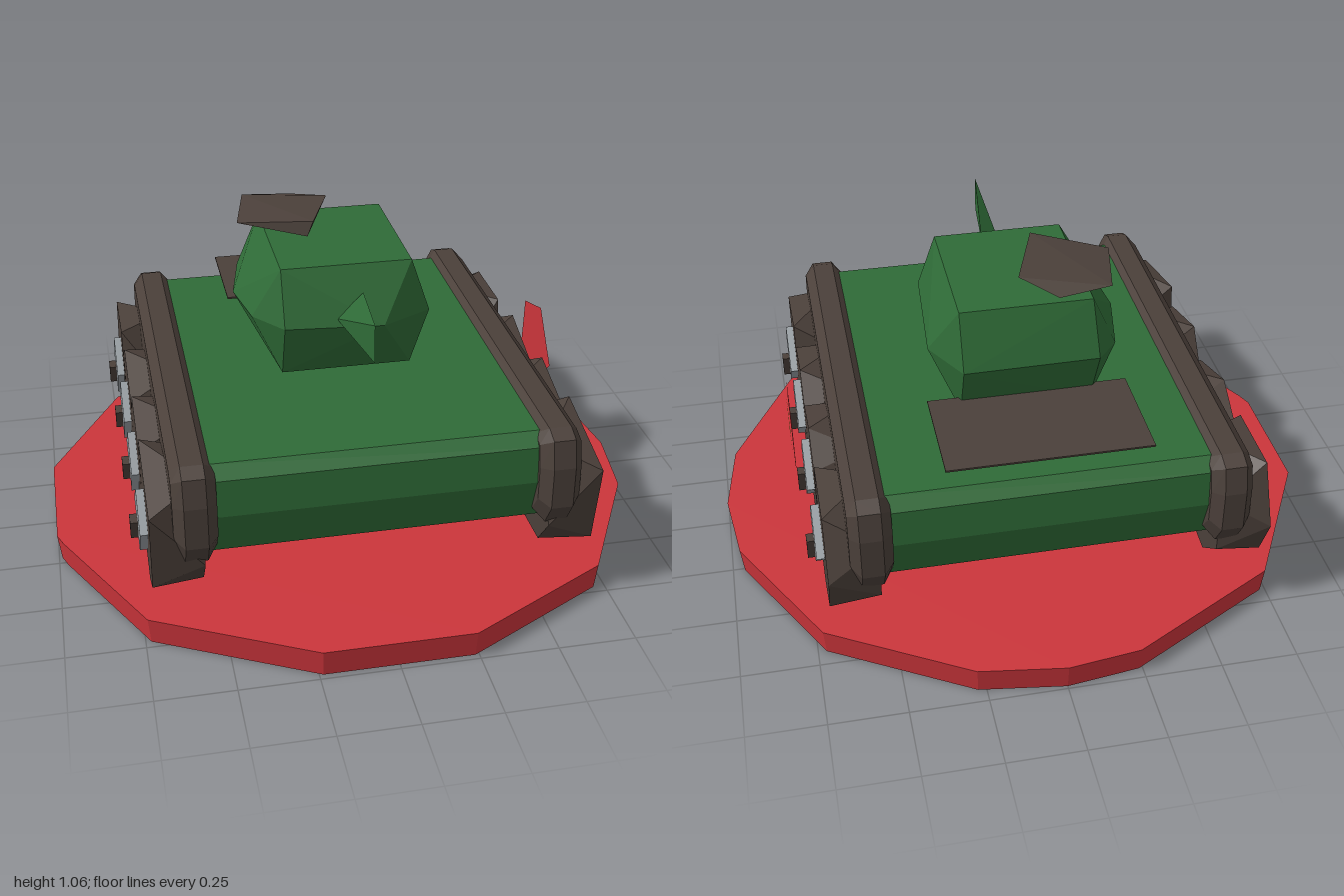
import * as THREE from 'three';
import { ConvexGeometry } from 'three/addons/geometries/ConvexGeometry.js';

const V = (x, y, z) => new THREE.Vector3(x, y, z);

function material(name, color, side = THREE.FrontSide) {
  const m = new THREE.MeshStandardMaterial({ color, side });
  m.name = name;
  return m;
}

export function createModel() {
  const root = new THREE.Group();
  root.name = 'toyTank';
  const green = material('green', 0x2f6b37);
  const brown = material('brown', 0x4b403a);
  const red = material('red', 0xcb353b, THREE.DoubleSide);
  const grey = material('grey', 0x989fa4);
  const yellow = material('yellow', 0xc9b02e, THREE.DoubleSide);

  const add = (name, geometry, mat, parent = root) => {
    const mesh = new THREE.Mesh(geometry, mat);
    mesh.name = name;
    parent.add(mesh);
    return mesh;
  };
  const solid = (name, points, mat, parent) => add(name, new ConvexGeometry(points), mat, parent);
  // Ring of [z, y] points placed at a given x
  const ringX = (x, pts) => pts.map(([z, y]) => V(x, y, z));
  // Ring of [x, z] points placed at a given y
  const ringY = (y, pts) => pts.map(([x, z]) => V(x, y, z));
  // Front half of a side profile, repeated at the back
  const bothEnds = (pts) => pts.concat(pts.map(([z, y]) => [-z, y]));

  // Round plinth with uneven facets
  const plinth = [[-0.24, -0.97], [0, -1], [0.28, -0.96], [0.73, -0.7], [0.97, -0.26], [1, 0], [0.96, 0.28],
    [0.72, 0.73], [0.24, 0.99], [-0.24, 0.99], [-0.74, 0.73], [-0.98, 0.27], [-1, 0.22], [-1, -0.22], [-0.74, -0.7]];
  solid('plinth', [...ringY(0, plinth.map(([x, z]) => [x * 0.99, z * 0.99])), ...ringY(0.09, plinth)], red);

  const tank = new THREE.Group();
  tank.name = 'tank';
  tank.position.x = -0.008;
  root.add(tank);

  // Hull
  const hull = bothEnds([[0.67, 0.59], [0.71, 0.55], [0.72, 0.43], [0.67, 0.28]]);
  solid('hull', [...ringX(-0.54, hull), ...ringX(0.54, hull)], green, tank);

  // Fenders and wheels on both sides
  const rim = bothEnds([[0.7, 0.61], [0.75, 0.59], [0.77, 0.5], [0.77, 0.36], [0.72, 0.28]]);
  const shoulder = rim.map(([z, y]) => [z * 0.95, 0.45 + (y - 0.45) * 0.8]);
  const wheels = [
    { z: 0.53, pts: [[0.74, 0.46], [0.4, 0.54], [0.35, 0.22], [0.56, 0.12], [0.69, 0.18]] },
    { z: 0.18, pts: [[0.37, 0.47], [0.12, 0.54], [0.03, 0.43], [0.06, 0.18], [0.2, 0.12], [0.35, 0.21]] },
    { z: -0.17, pts: [[0.02, 0.46], [-0.22, 0.54], [-0.35, 0.46], [-0.31, 0.17], [-0.12, 0.13], [0.04, 0.22]] },
    { z: -0.515, pts: [[-0.4, 0.52], [-0.66, 0.52], [-0.75, 0.33], [-0.68, 0.18], [-0.5, 0.12], [-0.35, 0.21]] },
  ];
  for (const s of [1, -1]) {
    const side = s > 0 ? 'left' : 'right';
    solid(side + 'Fender', [
      ...ringX(s * 0.502, shoulder), ...ringX(s * 0.535, rim),
      ...ringX(s * 0.605, rim), ...ringX(s * 0.637, shoulder)], brown, tank);

    wheels.forEach(({ z, pts }, i) => {
      const wheel = new THREE.Group();
      wheel.name = side + 'Wheel' + (i + 1);
      tank.add(wheel);
      // Inner face is the outer one twisted a little
      const c = Math.cos(0.45) * 0.95, k = Math.sin(0.45) * 0.95;
      const inner = pts.map(([pz, py]) => {
        const dz = pz - z, dy = py - 0.33;
        return [z + dz * c - dy * k, 0.33 + dz * k + dy * c];
      });
      solid('tyre', [...ringX(s * 0.545, inner), ...ringX(s * 0.708, pts)], brown, wheel);
      // Diamond-shaped disc and wedge-shaped hub
      const disc = [[z + 0.115, 0.345], [z + 0.015, 0.45], [z - 0.12, 0.34], [z + 0.01, 0.22]];
      solid('disc', [...ringX(s * 0.7, disc), ...ringX(s * 0.733, disc)], grey, wheel);
      const hub = [[z + 0.02, 0.33], [z - 0.025, 0.335], [z - 0.01, 0.255]];
      solid('hub', [...ringX(s * 0.73, hub), ...ringX(s * 0.757, hub)], brown, wheel);
    });
  }

  // Turret, widest halfway up
  const cap = [[-0.22, -0.31], [0.21, -0.31], [0.21, 0.18], [-0.22, 0.18]];
  const waist = [[-0.23, -0.38], [0.21, -0.385], [0.3, -0.22], [0.27, 0.19], [0.1, 0.28], [-0.22, 0.25],
    [-0.31, 0.13], [-0.345, -0.07], [-0.3, -0.3]];
  solid('turret', [...ringY(0.61, cap), ...ringY(0.8, waist), ...ringY(0.98, cap)], green);

  // Gun, a four-cornered wedge
  solid('gun', [V(-0.005, 0.965, 0.6), V(-0.005, 0.84, 0.6), V(-0.05, 0.82, 0.24), V(0.037, 0.905, 0.24)], green);

  // Hatch above the turret
  solid('hatch', [V(-0.08, 1.062, 0), V(-0.1, 1.01, 0), V(0.01, 1.05, -0.25), V(-0.1, 1.025, -0.355),
    V(-0.27, 1.04, -0.34), V(-0.32, 1.035, -0.1)], brown);

  // Engine cover over the rear deck
  add('engineCover', new THREE.BoxGeometry(0.655, 0.006, 0.365), brown).position.set(-0.008, 0.66, -0.497);

  // Badge on the left side; shape x runs along -z
  const flat = (pts) => new THREE.ShapeGeometry(new THREE.Shape(pts.map(([z, y]) => new THREE.Vector2(-z, y))));
  const badge = add('badge', flat([[0.06, 0.47], [-0.115, 0.315], [-0.255, 0.4], [-0.24, 0.585], [-0.07, 0.635]]), red);
  badge.position.x = 0.752;
  const star = [];
  for (let i = 0; i < 10; i++) {
    const a = Math.PI / 2 + i * Math.PI / 5, r = i % 2 ? 0.045 : 0.102;
    star.push([-0.107 + Math.cos(a) * r, 0.485 + Math.sin(a) * r]);
  }
  const starMesh = add('star', flat(star), yellow);
  starMesh.position.x = 0.758;
  badge.rotation.y = starMesh.rotation.y = Math.PI / 2;

  return root;
}
